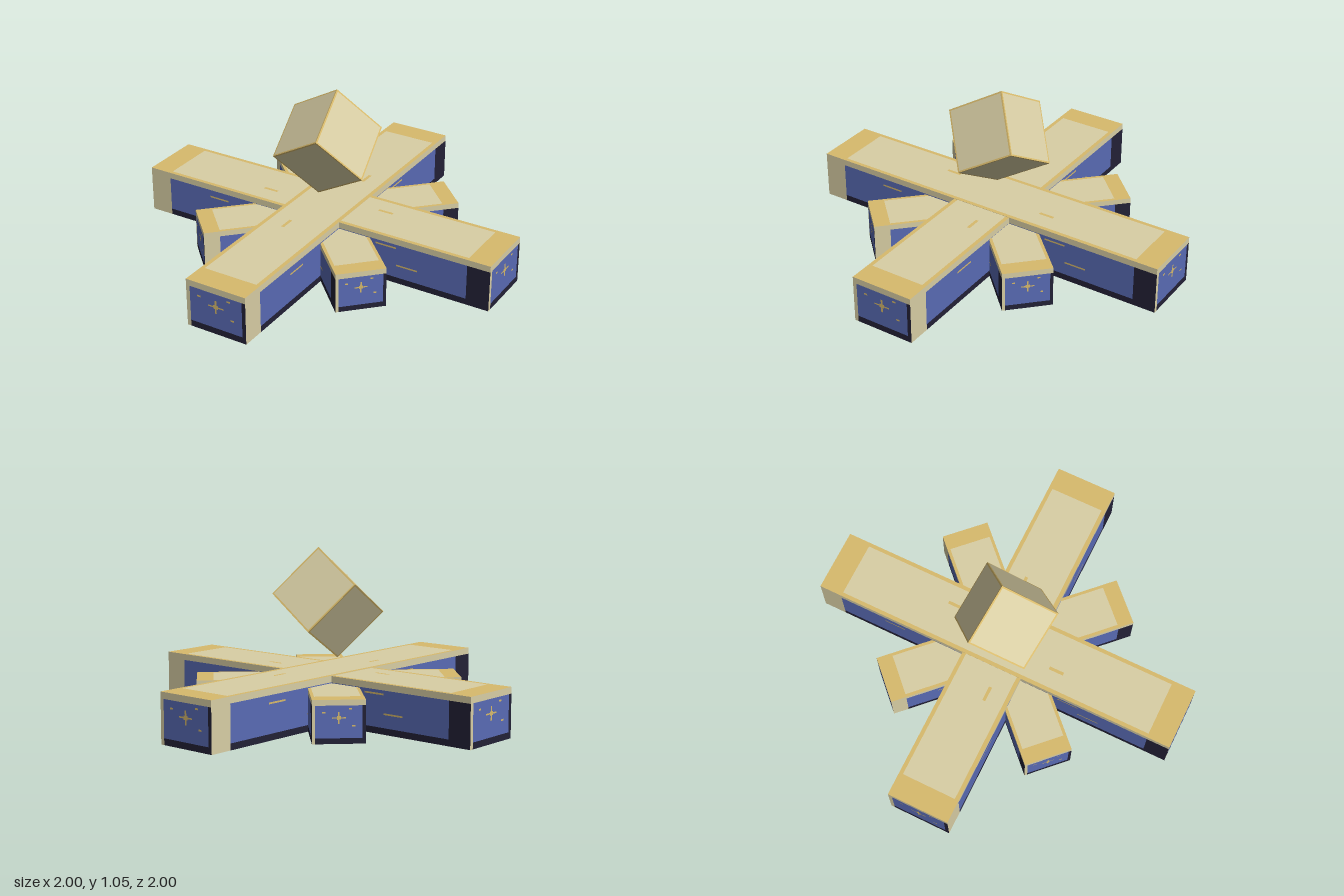
import * as THREE from 'three';
import { mergeGeometries } from 'three/addons/utils/BufferGeometryUtils.js';

const mat = (name, color) => {
  const m = new THREE.MeshStandardMaterial({ color });
  m.name = name;
  return m;
};

// Rectangles are [u0, u1, v0, v1] as fractions of a face; "raised" ones sit just above it.
const frame = (b) => [[0, 1, 0, b], [0, 1, 1 - b, 1], [0, b, b, 1 - b], [1 - b, 1, b, 1 - b]];
const star = [[0.37, 0.63, 0.575, 0.605], [0.485, 0.515, 0.45, 0.73], [0.46, 0.54, 0.55, 0.63]];
const dashes = [[0.19, 0.248, 0.7, 0.735], [0.688, 0.746, 0.775, 0.81], [0.747, 0.805, 0.39, 0.425]];

// Blue panel with cream on its top and left edges, dark on its right and bottom edges
const panelFace = {
  cream: [[0, 1, 0.87, 1], [0, 0.061, 0, 0.87]],
  navy: [[0.939, 1, 0, 0.87], [0.061, 0.939, 0, 0.13]],
  blue: [[0.061, 0.939, 0.13, 0.87]],
  raised: [...star, ...dashes],
};
// Cream face with a gold frame
const lidFace = (b, raised = []) => ({ cream: [[b, 1 - b, b, 1 - b]], gold: frame(b), raised });

export function createModel() {
  const materials = {
    cream: mat('cream', 0xd9cfa5),
    gold: mat('gold', 0xd8ba6c),
    blue: mat('blue', 0x596bb5),
    navy: mat('darkNavy', 0x232136),
  };
  const X = new THREE.Vector3(1, 0, 0), Y = new THREE.Vector3(0, 1, 0), Z = new THREE.Vector3(0, 0, 1);
  const neg = (v) => v.clone().negate();
  // Right and up direction of each face as seen from outside
  const sides = {
    front: [X, Y], right: [neg(Z), Y], back: [neg(X), Y], left: [Z, Y],
    bottom: [neg(X), neg(Z)], top: [X, neg(Z)],
  };

  // Block centred on its origin, each face divided into coloured rectangles
  function block(name, w, h, d, patternFor) {
    const group = new THREE.Group();
    group.name = name;
    const size = new THREE.Vector3(w, h, d);
    const extent = (v) => Math.abs(v.dot(size));
    const parts = { cream: [], gold: [], blue: [], navy: [] };
    for (const [side, [U, V]] of Object.entries(sides)) {
      const N = U.clone().cross(V);
      const lu = extent(U), lv = extent(V), ln = extent(N);
      const basis = new THREE.Matrix4().makeBasis(U, V, N);
      const add = (list, [u0, u1, v0, v1], lift) => {
        const g = new THREE.PlaneGeometry((u1 - u0) * lu, (v1 - v0) * lv);
        g.translate(((u0 + u1) / 2 - 0.5) * lu, ((v0 + v1) / 2 - 0.5) * lv, ln / 2 + lift);
        list.push(g.applyMatrix4(basis));
      };
      const { raised, ...flat } = patternFor(side);
      for (const [colour, rects] of Object.entries(flat)) rects.forEach((r) => add(parts[colour], r, 0));
      raised.forEach((r) => add(parts.gold, r, 0.001));
    }
    for (const [colour, list] of Object.entries(parts)) {
      if (!list.length) continue;
      const mesh = new THREE.Mesh(mergeGeometries(list), materials[colour]);
      mesh.name = `${name}_${colour}`;
      group.add(mesh);
    }
    return group;
  }

  const model = new THREE.Group();
  model.name = 'crossedBlocks';

  // Bars of the base; slight insets keep crossing faces from coinciding
  function bar(name, w, d, y0, y1, turn) {
    const marks = w > d
      ? [[0.637, 0.677, 0.33, 0.38], [0.323, 0.363, 0.62, 0.67]]
      : [[0.62, 0.67, 0.323, 0.363], [0.33, 0.38, 0.637, 0.677]];
    const b = block(name, w, y1 - y0, d, (side) => (side === 'top' ? lidFace(0.062, marks) : panelFace));
    b.position.y = (y0 + y1) / 2;
    b.rotation.y = turn;
    model.add(b);
  }
  bar('longDiagonalBar', 2.425, 0.403, 0, 0.305, Math.PI / 4);
  bar('crossDiagonalBar', 0.403, 2.425, 0.002, 0.303, Math.PI / 4);
  bar('shortSideBar', 1.61, 0.305, 0.004, 0.262, 0);
  bar('shortFrontBar', 0.305, 1.61, 0.006, 0.26, 0);

  // Cube floating above the centre, tilted towards one corner
  const cube = block('floatingCube', 0.4, 0.4, 0.4, () => lidFace(0.025));
  const r = Math.SQRT1_2;
  cube.quaternion.setFromRotationMatrix(new THREE.Matrix4().makeBasis(
    new THREE.Vector3(-r, r, 0),
    new THREE.Vector3(-0.5, -0.5, r),
    new THREE.Vector3(0.5, 0.5, r),
  ));
  cube.position.set(0, 0.71, 0);
  model.add(cube);

  return model;
}
